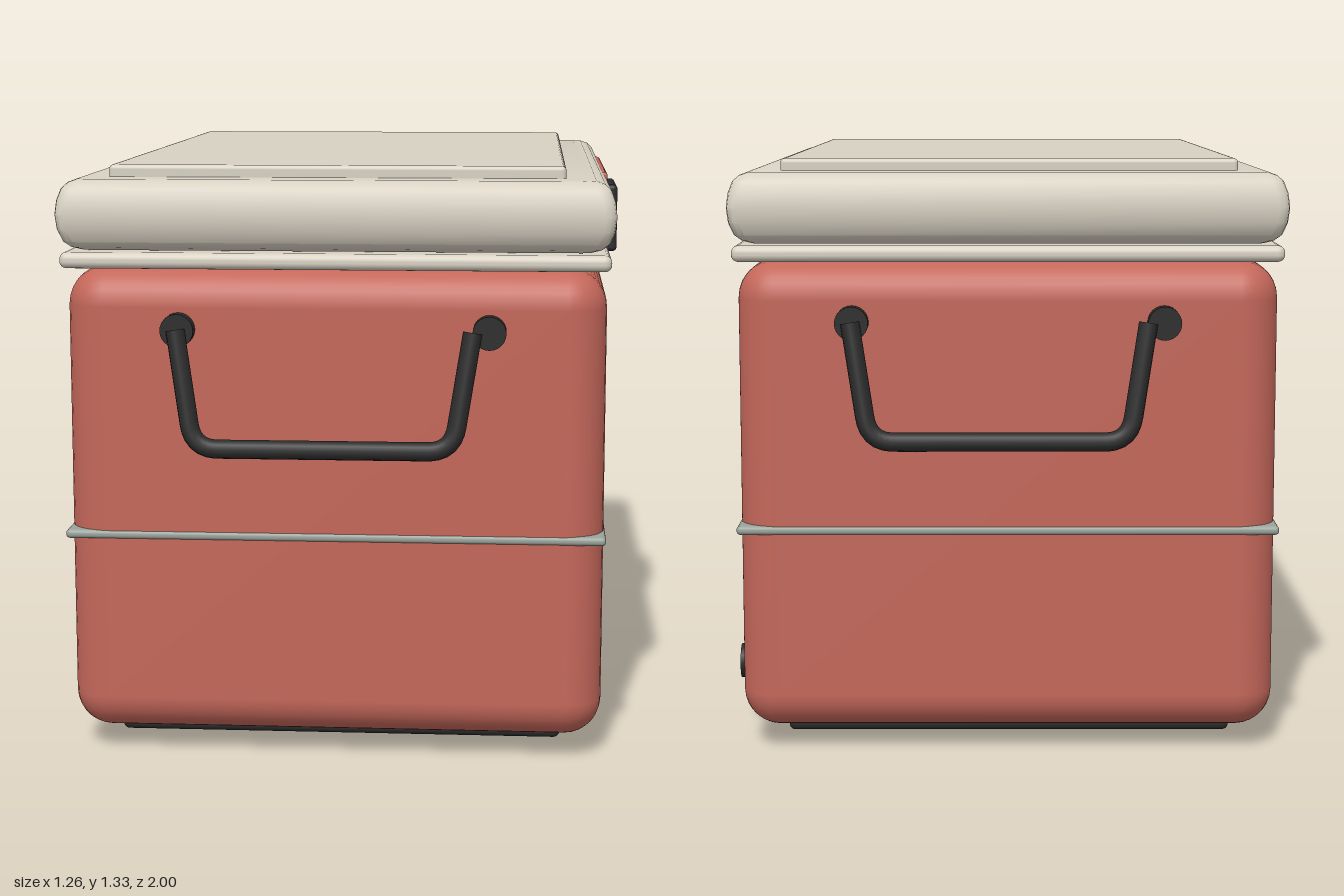
import * as THREE from 'three';
import { RoundedBoxGeometry } from 'three/addons/geometries/RoundedBoxGeometry.js';
import { toCreasedNormals } from 'three/addons/utils/BufferGeometryUtils.js';

const CX = -0.015; // the shell sits slightly off centre because the latch sticks out at +x

function material(name, color) {
  const m = new THREE.MeshStandardMaterial({ color });
  m.name = name;
  return m;
}

// Closed slab lofted from rounded rectangles; profile rows are [y, inset]
function loftedSlab(width, depth, radius, steps, profile) {
  const pos = [];
  const index = [];
  const n = 4 * (steps + 1);
  for (const [y, inset] of profile) {
    const hx = width / 2 - inset - radius;
    const hz = depth / 2 - inset - radius;
    for (let c = 0; c < 4; c++) {
      const sx = c === 0 || c === 3 ? 1 : -1;
      const sz = c < 2 ? 1 : -1;
      for (let s = 0; s <= steps; s++) {
        const a = (c + s / steps) * Math.PI / 2;
        pos.push(sx * hx + radius * Math.cos(a), y, sz * hz + radius * Math.sin(a));
      }
    }
  }
  for (let r = 0; r < profile.length - 1; r++) {
    for (let i = 0; i < n; i++) {
      const a = r * n + i, b = r * n + (i + 1) % n;
      index.push(a, a + n, b, b, a + n, b + n);
    }
  }
  // flat caps
  const top = (profile.length - 1) * n;
  for (let i = 1; i < n - 1; i++) {
    index.push(0, i, i + 1);
    index.push(top, top + i + 1, top + i);
  }
  const g = new THREE.BufferGeometry();
  g.setAttribute('position', new THREE.Float32BufferAttribute(pos, 3));
  g.setIndex(index);
  return toCreasedNormals(g, 0.6);
}

export function createModel() {
  const model = new THREE.Group();
  model.name = 'coolBox';

  const red = material('coral red', 0xc4675a);
  const cream = material('cream', 0xd8d1c3);
  const black = material('black rubber', 0x2b2b2c);
  const grey = material('grey metal', 0x9aa39c);

  const add = (name, geometry, mat, x, y, z, parent = model) => {
    const mesh = new THREE.Mesh(geometry, mat);
    mesh.name = name;
    mesh.position.set(x, y, z);
    parent.add(mesh);
    return mesh;
  };
  const box = (name, w, h, d, r, mat, x, y, z, seg = 3) =>
    add(name, new RoundedBoxGeometry(w, h, d, seg, r), mat, x, y, z);

  // Shell
  box('body', 1.2, 1.06, 1.83, 0.085, red, CX, 0.58, 0, 4);
  box('bodyBand', 1.208, 0.02, 1.838, 0.009, grey, CX, 0.512, 0);
  box('rimGasket', 1.214, 0.036, 1.842, 0.016, cream, CX, 1.128, 0);

  // Lid with bulging sides, and its raised panel
  add('lid', loftedSlab(1.234, 1.85, 0.025, 3, [
    [1.148, 0.05], [1.155, 0.03], [1.168, 0.015], [1.195, 0.004], [1.228, 0],
    [1.26, 0.004], [1.285, 0.013], [1.298, 0.026], [1.305, 0.045],
  ]), cream, CX, 0, 0);
  box('lidPanel', 1.02, 0.04, 1.6, 0.01, cream, -0.018, 1.312, 0);
  box('lidAccent', 0.03, 0.03, 0.67, 0.008, red, 0.583, 1.274, 0);

  // Latch and drain plug on the +x side
  box('latch', 0.038, 0.166, 0.254, 0.01, black, 0.611, 1.162, 0);
  const plug = add('drainPlug', new THREE.CylinderGeometry(0.04, 0.04, 0.05, 24), black, 0.585, 0.15, -0.655);
  plug.rotation.z = Math.PI / 2;

  // Feet
  for (const s of [1, -1]) {
    box('foot', 1.025, 0.052, 0.14, 0.014, black, -0.018, 0.026, s * 0.66);
  }

  // Swinging handles on both ends
  const points = [[-0.343, 0.98, 0.947], [-0.302, 0.722, 0.979], [0.268, 0.722, 0.979], [0.309, 0.98, 0.947]]
    .map(([x, y, z]) => new THREE.Vector3(x - CX - 0.0175, y, z));
  const path = new THREE.CurvePath();
  let from = points[0];
  for (let i = 1; i < 3; i++) {
    const p = points[i];
    const before = p.clone().add(points[i - 1].clone().sub(p).setLength(0.055));
    const after = p.clone().add(points[i + 1].clone().sub(p).setLength(0.055));
    path.add(new THREE.LineCurve3(from, before));
    path.add(new THREE.QuadraticBezierCurve3(before, p, after));
    from = after;
  }
  path.add(new THREE.LineCurve3(from, points[3]));
  const grip = new THREE.TubeGeometry(path, 72, 0.021, 12, false);
  const pivot = new THREE.CylinderGeometry(0.037, 0.037, 0.045, 24).rotateX(Math.PI / 2);
  for (const turn of [0, Math.PI]) {
    const handle = new THREE.Group();
    handle.name = turn ? 'backHandle' : 'frontHandle';
    handle.position.x = CX;
    handle.rotation.y = turn;
    add('handleGrip', grip, black, 0, 0, 0, handle);
    for (const s of [1, -1]) {
      add('handlePivot', pivot, black, s * 0.343, 0.978, 0.925, handle);
    }
    model.add(handle);
  }

  return model;
}
